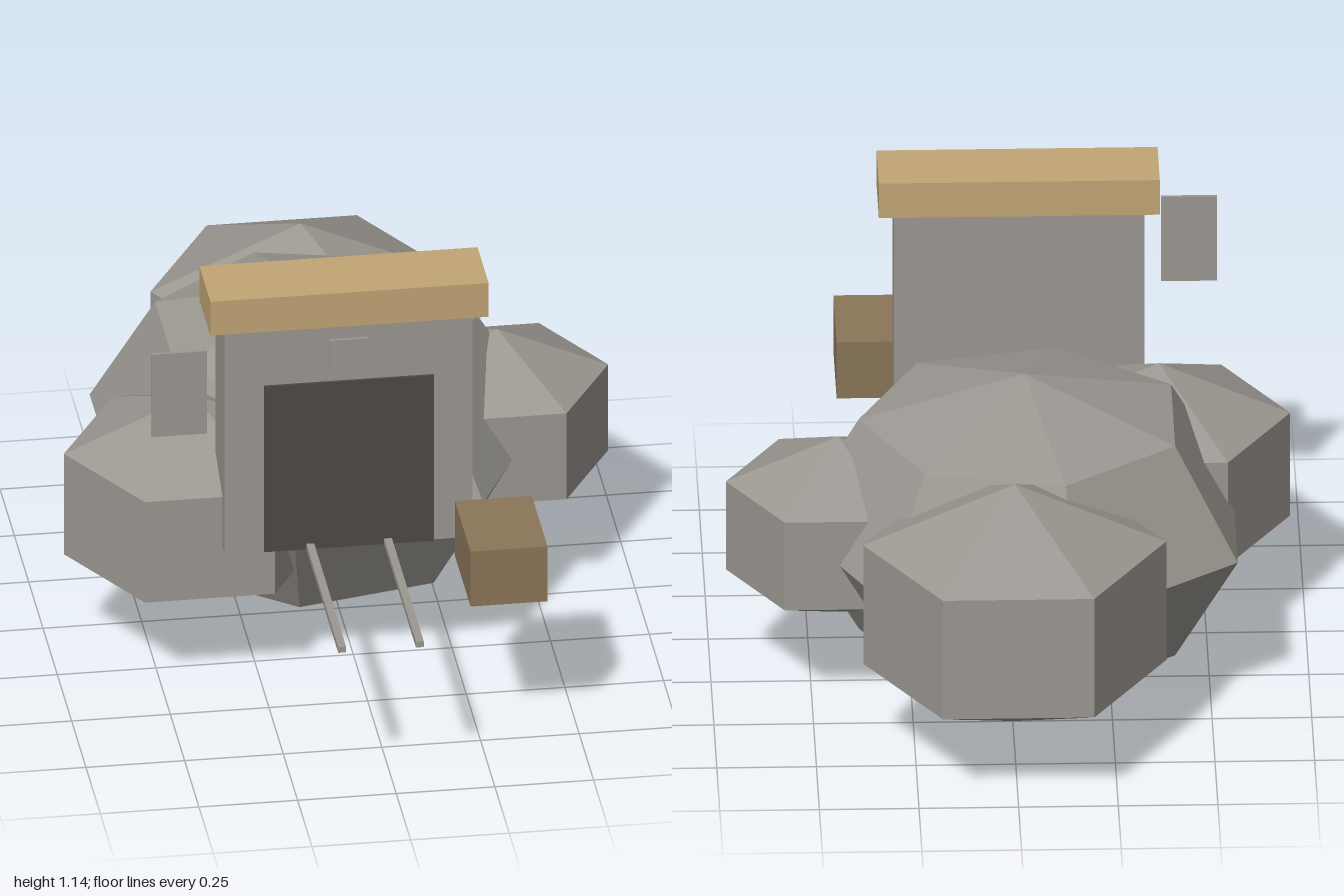
import * as THREE from 'three';

export function createModel() {
  const group = new THREE.Group();
  group.name = 'rockMineEntrance';

  const material = (name, color) => {
    const m = new THREE.MeshStandardMaterial({ color });
    m.name = name;
    return m;
  };
  const stone = material('stone grey', 0x9b9791);
  const dark = material('dark opening', 0x4d4947);
  const paleWood = material('pale wood', 0xc2a576);
  const brownWood = material('brown wood', 0x8b7659);

  const add = (name, geometry, mat, x, y, z) => {
    const mesh = new THREE.Mesh(geometry, mat);
    mesh.name = name;
    mesh.position.set(x, y, z);
    group.add(mesh);
  };

  // Squashed faceted boulder with a corner facing +x
  const boulder = (name, radius, sides, rows, squash, x, z) => {
    const sphere = new THREE.SphereGeometry(radius, sides, rows);
    sphere.rotateY(Math.PI).scale(1, squash, 1);
    const flat = sphere.toNonIndexed();
    flat.computeVertexNormals();
    add(name, flat, stone, x, 0.415, z);
  };

  // Box given by its limits along each axis
  const box = (name, mat, [x0, x1], [y0, y1], [z0, z1]) =>
    add(name, new THREE.BoxGeometry(x1 - x0, y1 - y0, z1 - z0), mat,
      (x0 + x1) / 2, (y0 + y1) / 2, (z0 + z1) / 2);

  // Rock cluster
  boulder('mainRock', 0.587, 7, 4, 0.7, -0.037, -0.2);
  boulder('leftRock', 0.325, 6, 3, 0.75, 0.43, -0.2);
  boulder('rightRock', 0.38, 6, 3, 0.75, -0.385, 0.115);
  boulder('backRock', 0.439, 6, 3, 0.75, 0, -0.67);

  // Entrance wall, opening and lintel
  box('entranceWall', stone, [-0.353, 0.275], [0.415, 1.045], [0.278, 0.435]);
  box('entranceOpening', dark, [-0.253, 0.177], [0.415, 0.885], [0.433, 0.442]);
  box('lintel', paleWood, [-0.391, 0.314], [1.045, 1.141], [0.257, 0.45]);

  // Plates
  box('wallPlate', stone, [-0.088, 0.012], [0.927, 1.004], [0.435, 0.444]);
  box('sidePlate', stone, [-0.54, -0.4], [0.77, 1.004], [0.445, 0.454]);

  // Rails leading out of the opening
  for (const x of [-0.137, 0.06])
    box('rail', stone, [x - 0.01, x + 0.01], [0.415, 0.431], [0.44, 1]);

  // Crate beside the track
  box('crate', brownWood, [0.217, 0.412], [0.415, 0.571], [0.53, 0.803]);

  return group;
}
